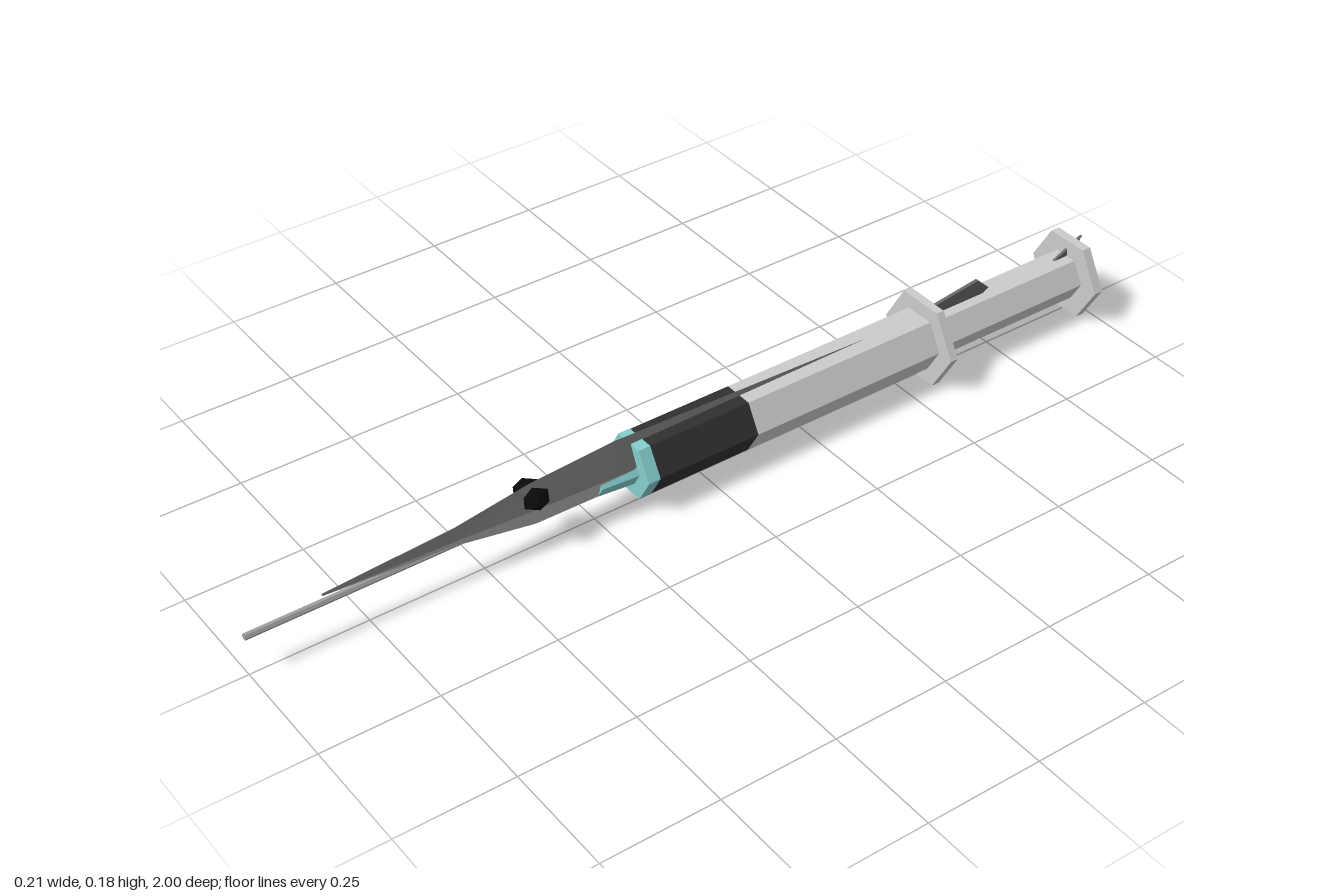
import * as THREE from 'three';

const AXIS = 0.091;

export function createModel() {
  const group = new THREE.Group();
  const mat = (name, hex, side = THREE.FrontSide) => {
    const m = new THREE.MeshStandardMaterial({ color: hex, flatShading: true, side });
    m.name = name;
    return m;
  };
  const plastic = mat('pale grey plastic', 0xcccccc);
  const band = mat('charcoal', 0x303030);
  const cyan = mat('aqua', 0x86cfcf);
  const steel = mat('steel grey', 0xa0a0a0);
  const back = mat('fish back grey', 0x686868, THREE.DoubleSide);
  const belly = mat('fish belly grey', 0xb4b4b4, THREE.DoubleSide);
  const black = mat('black', 0x0a0a0a);

  const add = (name, geo, material, x = 0, y = 0, z = 0) => {
    const m = new THREE.Mesh(geo, material);
    m.name = name;
    m.position.set(x, y, z);
    group.add(m);
    return m;
  };

  // Hexagonal prism along z, flat on top and bottom
  const prism = (name, material, z0, z1, r0, r1 = r0, sides = 6) => {
    const geo = new THREE.CylinderGeometry(r1, r0, z1 - z0, sides);
    geo.rotateY(Math.PI / 6).rotateX(Math.PI / 2);
    return add(name, geo, material, 0, AXIS, (z0 + z1) / 2);
  };

  // Syringe
  prism('plungerEnd', plastic, -0.98, -0.96, 0.097);
  prism('plunger', plastic, -0.96, -0.57, 0.054);
  prism('fingerFlange', plastic, -0.575, -0.557, 0.104);
  prism('barrel', plastic, -0.557, -0.095, 0.067);
  prism('barrelBand', band, -0.095, 0.14, 0.067);
  prism('barrelCap', cyan, 0.14, 0.167, 0.068);
  prism('nozzle', cyan, 0.167, 0.25, 0.036, 0.03);
  prism('needle', steel, 0.2, 1, 0.007);

  // Fish body sections: z, ridge y, side x, side y, lower x, lower y, keel y
  const sections = [
    [0.84, 0.111, 0.002, 0.107, 0.001, 0.106, 0.105],
    [0.56, 0.128, 0.010, 0.104, 0.006, 0.090, 0.086],
    [0.39, 0.155, 0.023, 0.106, 0.014, 0.066, 0.057],
    [0.20, 0.167, 0.028, 0.105, 0.018, 0.068, 0.060],
    [0.00, 0.161, 0.028, 0.100, 0.018, 0.068, 0.060],
    [-0.42, 0.149, 0.022, 0.095, 0.015, 0.070, 0.062],
    [-0.85, 0.105, 0.006, 0.092, 0.004, 0.082, 0.080],
  ];
  const strip = (rowOf) => {
    const pos = [], idx = [];
    const n = rowOf(sections[0]).length;
    sections.forEach((s) => rowOf(s).forEach(([x, y]) => pos.push(x, y, s[0])));
    for (let i = 0; i < sections.length - 1; i++) {
      for (let j = 0; j < n - 1; j++) {
        const a = i * n + j, b = a + n;
        idx.push(a, a + 1, b, a + 1, b + 1, b);
      }
    }
    const geo = new THREE.BufferGeometry();
    geo.setAttribute('position', new THREE.Float32BufferAttribute(pos, 3));
    geo.setIndex(idx);
    geo.computeVertexNormals();
    return geo;
  };
  add('fishBack', strip(([, top, sx, sy]) => [[-sx, sy], [0, top], [sx, sy]]), back);
  add('fishBelly', strip(([, , sx, sy, lx, ly, keel]) =>
    [[sx, sy], [lx, ly], [0, keel], [-lx, ly], [-sx, sy]]), belly);

  // Eyes
  for (const s of [-1, 1]) {
    const eye = add(s > 0 ? 'leftEye' : 'rightEye',
      new THREE.IcosahedronGeometry(0.025, 0), black, s * 0.018, 0.128, 0.39);
    eye.scale.set(0.95, 0.9, 1.25);
  }

  // Thin fins drawn in the z, y plane
  const fin = (name, points, width) => {
    const shape = new THREE.Shape(points.map(([z, y]) => new THREE.Vector2(-z, y)));
    const geo = new THREE.ExtrudeGeometry(shape, { depth: width, bevelEnabled: false });
    geo.translate(0, 0, -width / 2).rotateY(Math.PI / 2);
    add(name, geo, back);
  };
  fin('dorsalFin', [[-0.5, 0.12], [-0.575, 0.155], [-0.71, 0.175], [-0.74, 0.146], [-0.69, 0.12]], 0.008);
  fin('analFin', [[-0.56, 0.07], [-0.69, 0.038], [-0.66, 0.07]], 0.006);
  fin('tailFin', [[-0.83, 0.095], [-0.93, 0.14], [-1, 0.173], [-0.965, 0.13], [-0.94, 0.092],
    [-0.955, 0.06], [-0.987, 0.038], [-0.92, 0.055]], 0.006);

  return group;
}
